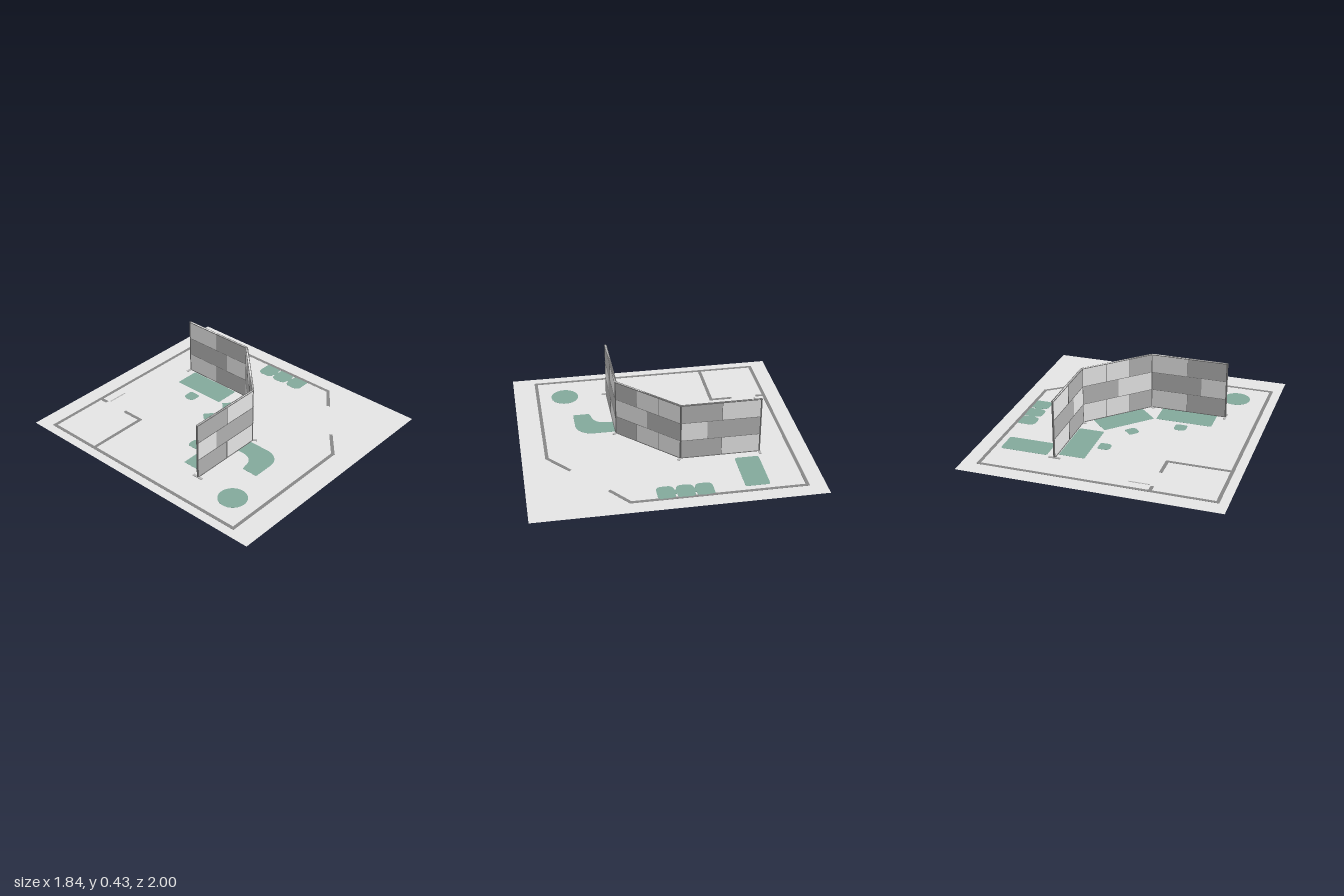
import * as THREE from 'three';

const mat = (name, color, side = THREE.FrontSide) => {
  const m = new THREE.MeshStandardMaterial({ color, side });
  m.name = name;
  return m;
};

export function createModel() {
  const model = new THREE.Group();
  model.name = 'officeFloorPlan';
  const floorGrey = mat('floorGrey', 0xe4e4e4, THREE.DoubleSide);
  const wallGrey = mat('wallGrey', 0x868686);
  const green = mat('furnitureGreen', 0x82a89b);
  const lightTile = mat('lightTile', 0xe5e5e5);
  const midTile = mat('midTile', 0xb0b0b0);
  const frameGrey = mat('frameGrey', 0x686868);
  const footGrey = mat('footGrey', 0xb4b4b4);

  const add = (name, geometry, material, parent = model) => {
    const mesh = new THREE.Mesh(geometry, material);
    mesh.name = name;
    parent.add(mesh);
    return mesh;
  };
  const box = (name, w, h, d, x, y, z, material, parent) => {
    const mesh = add(name, new THREE.BoxGeometry(w, h, d), material, parent);
    mesh.position.set(x, y, z);
    return mesh;
  };
  // Flat plate from a plan outline (shape y is -z); it shows on both floor faces
  const thick = 0.002;
  const plate = (name, shape, material) => {
    const g = new THREE.ExtrudeGeometry(shape, { depth: thick, bevelEnabled: false, curveSegments: 12 });
    return add(name, g.rotateX(-Math.PI / 2), material);
  };
  // Rounded rectangle with separate radii for its -x and +x corners
  const roundRect = (w, d, rl, rr = rl) => {
    const s = new THREE.Shape(), x = w / 2, y = d / 2;
    s.moveTo(-x + rl, -y);
    s.lineTo(x - rr, -y);
    s.quadraticCurveTo(x, -y, x, -y + rr);
    s.lineTo(x, y - rr);
    s.quadraticCurveTo(x, y, x - rr, y);
    s.lineTo(-x + rl, y);
    s.quadraticCurveTo(-x, y, -x, y - rl);
    s.lineTo(-x, -y + rl);
    s.quadraticCurveTo(-x, -y, -x + rl, -y);
    return s;
  };
  const furniture = (name, w, d, x, z, rl, rr = rl, turn = 0) => {
    const m = plate(name, roundRect(w, d, rl, rr), green);
    m.position.set(x, 0, z);
    m.rotation.y = turn;
  };

  // Floor sheet
  add('floor', new THREE.PlaneGeometry(1.84, 2).rotateX(-Math.PI / 2), floorGrey).position.y = thick / 2;

  // Wall lines on the floor: x1, z1, x2, z2
  const wallLine = (x1, z1, x2, z2, width = 0.024, name = 'wallLine', material = wallGrey) => {
    const length = Math.hypot(x2 - x1, z2 - z1);
    const m = box(name, length + width * 0.8, thick, width, (x1 + x2) / 2, thick / 2, (z1 + z2) / 2, material);
    m.rotation.y = -Math.atan2(z2 - z1, x2 - x1);
  };
  [
    [-0.845, -0.875, 0.805, -0.875], [-0.845, -0.875, -0.845, 0.825],
    [-0.845, 0.825, 0.2, 0.825], [0.2, 0.825, 0.365, 0.685],
    [0.805, -0.875, 0.805, 0.325], [0.805, 0.325, 0.655, 0.442],
    [-0.845, -0.465, -0.395, -0.465], [-0.395, -0.465, -0.395, -0.615],
    [-0.395, -0.875, -0.395, -0.82],
  ].forEach((w) => wallLine(...w));
  wallLine(-0.37, -0.796, -0.23, -0.796, 0.01, 'doorLine', footGrey);

  // Flat furniture
  furniture('frontDesk', 0.41, 0.18, -0.345, 0.21, 0.006);
  furniture('diagonalDesk', 0.4, 0.177, 0.08, 0.04, 0.006, 0.006, Math.PI / 4);
  furniture('sideDesk', 0.185, 0.41, 0.243, -0.395, 0.006);
  furniture('cabinet', 0.342, 0.172, 0.582, -0.546, 0.02);
  for (const z of [-0.185, -0.054, 0.08]) furniture('armchair', 0.136, 0.122, 0.734, z, 0.045, 0.025);
  furniture('armchairLink', 0.05, 0.26, 0.735, -0.054, 0.002);
  furniture('chair', 0.088, 0.088, 0.075, -0.395, 0.035, 0.018);
  furniture('chair', 0.085, 0.085, -0.035, -0.117, 0.035, 0.018, Math.PI / 4);
  furniture('chair', 0.088, 0.088, -0.345, 0.04, 0.035, 0.018, -Math.PI / 2);
  const table = add('roundTable', new THREE.CylinderGeometry(0.101, 0.101, thick, 40), green);
  table.position.set(-0.62, thick / 2, 0.623);

  // Curved counter
  const counter = new THREE.Shape();
  counter.moveTo(-0.205, -0.3);
  counter.lineTo(-0.205, -0.36);
  counter.quadraticCurveTo(-0.215, -0.455, -0.31, -0.46);
  counter.lineTo(-0.341, -0.47);
  counter.lineTo(-0.341, -0.588);
  counter.lineTo(-0.19, -0.588);
  counter.bezierCurveTo(-0.12, -0.588, -0.07, -0.53, -0.07, -0.46);
  counter.lineTo(-0.07, -0.3);
  plate('curvedCounter', counter, green);

  // Upright partition: rows list [start, end, material] as fractions of its length
  const H = 0.425, base = 0.006, rowH = (H - base) / 3;
  const partition = (name, [x1, z1], [x2, z2], outer, middle, bars) => {
    const g = new THREE.Group();
    const L = Math.hypot(x2 - x1, z2 - z1);
    g.name = name;
    g.position.set(x1, 0, z1);
    g.rotation.y = -Math.atan2(z2 - z1, x2 - x1);
    [outer, middle, outer].forEach((row, i) => {
      const y = base + (i + 0.5) * rowH;
      for (const [a, b, material] of row)
        box('tile', (b - a) * L, rowH, 0.009, ((a + b) / 2) * L, y, 0, material, g);
      if (i !== 1) for (const t of bars) box('tileBar', 0.002, rowH, 0.018, t * L, y, 0, frameGrey, g);
    });
    for (const y of [base + rowH, base + 2 * rowH]) box('rowRail', L, 0.0015, 0.018, L / 2, y, 0, frameGrey, g);
    for (const y of [0.005, H - 0.002]) box('edgeRail', L, 0.004, 0.018, L / 2, y, 0, frameGrey, g);
    model.add(g);
  };
  const p = [[-0.61, 0.303], [-0.05, 0.303], [0.347, -0.092], [0.347, -0.652]];
  const outer = [[0, 0.515, midTile], [0.515, 1, lightTile]];
  const middle = [[0, 0.33, lightTile], [0.33, 1, midTile]];
  partition('frontPartition', p[0], p[1], outer, middle, [0.515]);
  partition('diagonalPartition', p[1], p[2], [[0, 0.333, midTile], [0.333, 1, lightTile]],
    [[0, 0.49, lightTile], [0.49, 1, midTile]], [0.333, 0.666]);
  partition('sidePartition', p[2], p[3], outer, middle, [0.515]);

  // Posts and feet at the partition ends and joints
  const feet = [[Math.PI / 2, 0.08], [-Math.PI * 0.29, 0.07], [-Math.PI * 0.21, 0.07], [0, 0.085]];
  p.forEach(([x, z], i) => {
    add('post', new THREE.CylinderGeometry(0.007, 0.007, H, 12), frameGrey).position.set(x, H / 2, z);
    box('foot', feet[i][1], 0.005, 0.018, x, 0.0035, z, footGrey).rotation.y = feet[i][0];
  });
  return model;
}
